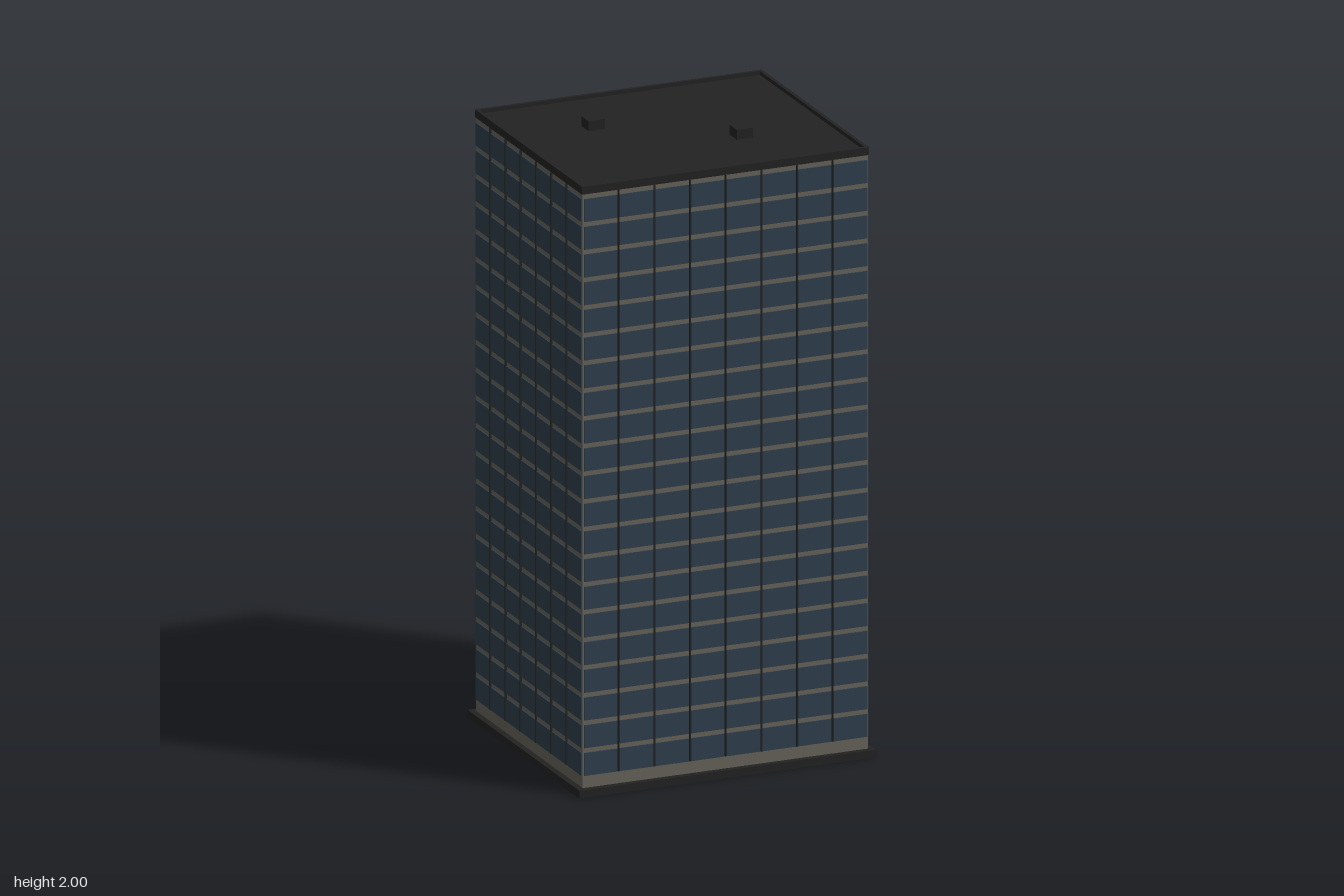
import * as THREE from 'three';
import { mergeGeometries } from 'three/addons/utils/BufferGeometryUtils.js';

const W = 0.96, D = 0.82;            // tower footprint
const FLOORS = 21, PITCH = 0.09;     // storeys
const BASE = 0.025, SILL = 0.065, TOP = 1.955;

const flat = (name, color) => {
  const m = new THREE.MeshStandardMaterial({ color });
  m.name = name;
  return m;
};

const boxAt = (w, h, d, x, y, z) => new THREE.BoxGeometry(w, h, d).translate(x, y, z);

export function createModel() {
  const charcoal = flat('charcoal', 0x222222);
  const stone = flat('warm grey stone', 0x66635a);
  const glass = flat('blue glass', 0x2f3f4c);
  const group = new THREE.Group();
  group.name = 'officeTower';

  const add = (name, geometry, material, parent = group) => {
    const mesh = new THREE.Mesh(geometry, material);
    mesh.name = name;
    parent.add(mesh);
    return mesh;
  };

  // Plinth and stone core
  add('plinth', boxAt(1, BASE, 0.86, 0, BASE / 2, 0), charcoal);
  add('core', boxAt(W, TOP - BASE, D, 0, (TOP + BASE) / 2, 0), stone);

  // One facade: grid of glass panes with thin fins between the columns
  const facade = (name, width, columns, depth, angle) => {
    const side = new THREE.Group();
    side.name = name;
    const bay = width / columns;
    const panes = [], fins = [];
    for (let c = 0; c < columns; c++) {
      const x = -width / 2 + (c + 0.5) * bay;
      for (let f = 0; f < FLOORS; f++) {
        panes.push(boxAt(bay - 0.008, 0.074, 0.004, x, SILL + f * PITCH + 0.037, depth / 2 + 0.002));
      }
      if (c > 0) {
        fins.push(boxAt(0.004, TOP - SILL, 0.006, x - bay / 2, (TOP + SILL) / 2, depth / 2 + 0.003));
      }
    }
    add('windows', mergeGeometries(panes), glass, side);
    add('mullions', mergeGeometries(fins), charcoal, side);
    side.rotation.y = angle;
    group.add(side);
  };
  facade('frontFacade', W, 8, D, 0);
  facade('backFacade', W, 8, D, Math.PI);
  facade('leftFacade', D, 7, W, Math.PI / 2);
  facade('rightFacade', D, 7, W, -Math.PI / 2);

  // Roof deck with a low parapet
  const RW = W + 0.006, RD = D + 0.006, RIM = 0.012;
  add('roofDeck', boxAt(RW, 0.013, RD, 0, TOP + 0.0065, 0), charcoal);
  for (const s of [-1, 1]) {
    add('parapet', boxAt(RW, 0.012, RIM, 0, 1.974, s * (RD - RIM) / 2), charcoal);
    add('parapet', boxAt(RIM, 0.012, RD - 2 * RIM, s * (RW - RIM) / 2, 1.974, 0), charcoal);
  }

  // Rooftop plant boxes
  for (const [x, z] of [[-0.205, -0.138], [0.18, 0.122]]) {
    add('rooftopUnit', boxAt(0.055, 0.032, 0.055, x, 1.984, z), charcoal);
  }
  return group;
}
